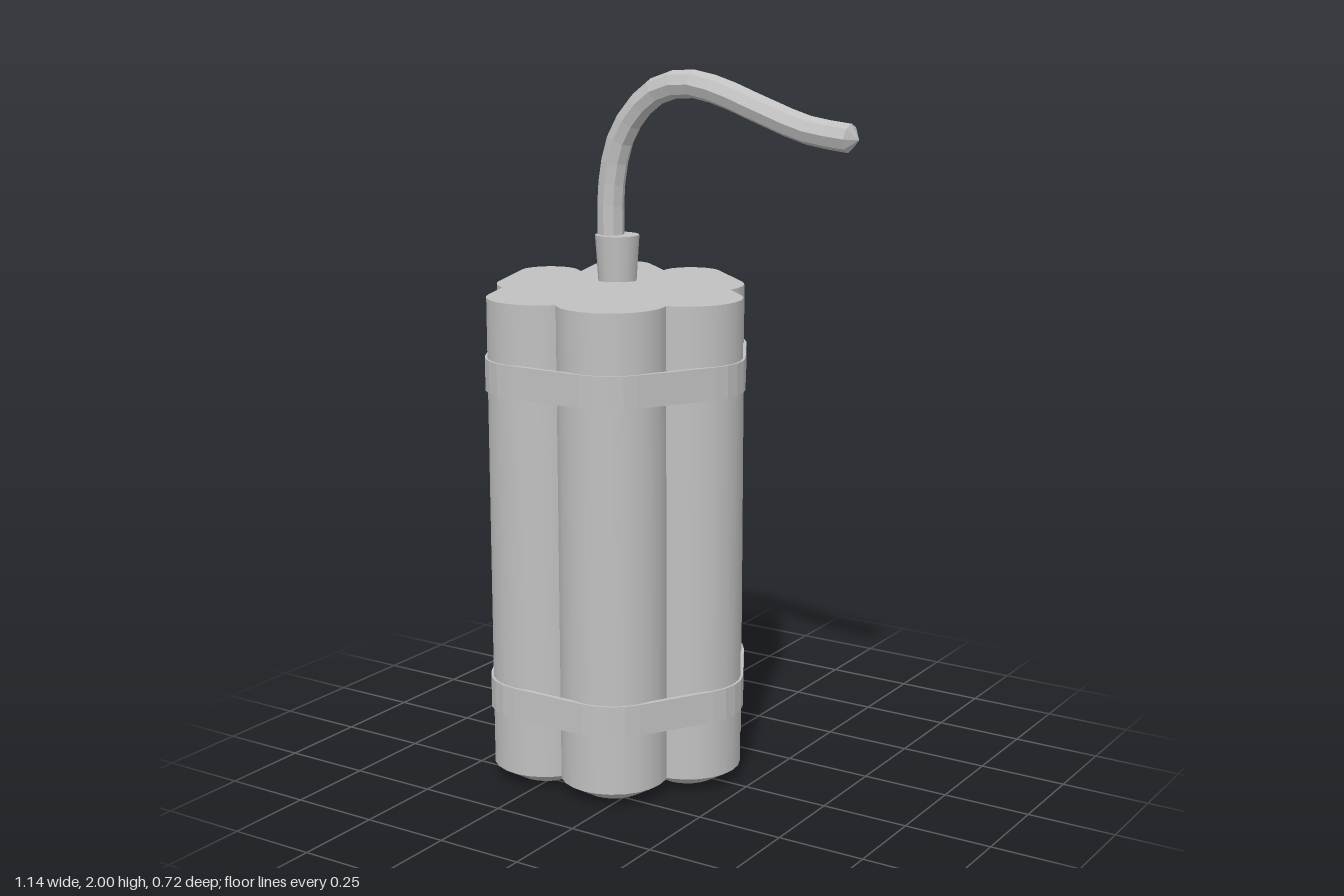
import * as THREE from 'three';

const CX = -0.18;          // bundle axis
const SPACING = 0.233;     // distance between tube axes
const R = 0.151;           // tube radius

export function createModel() {
  const model = new THREE.Group();
  const grey = new THREE.MeshStandardMaterial({ color: 0xc0c0c0 });
  grey.name = 'plain grey';

  const add = (name, geometry, parent = model) => {
    const mesh = new THREE.Mesh(geometry, grey);
    mesh.name = name;
    parent.add(mesh);
    return mesh;
  };
  const faceted = (g) => {
    const flat = g.toNonIndexed();
    flat.computeVertexNormals();
    return flat;
  };

  // Shallow dished end, shaded as one flat face
  const endCap = (points, ny) => {
    const g = new THREE.LatheGeometry(points.map(([r, y]) => new THREE.Vector2(r, y)), 24);
    const n = g.attributes.normal;
    for (let i = 0; i < n.count; i++) n.setXYZ(i, 0, ny, 0);
    return g;
  };
  const body = new THREE.CylinderGeometry(R, R, 1.345, 24, 1, true).translate(0, 0.7125, 0);
  const topCap = endCap([[R, 1.385], [0.083, 1.42], [0.07, 1.412], [0, 1.412]], 1);
  const bottomCap = endCap([[0, 0.008], [0.07, 0.008], [0.083, 0], [R, 0.04]], -1);

  // Seven tubes: one in the middle, six around it
  for (let k = 0; k < 7; k++) {
    const a = k * Math.PI / 3;
    const d = k < 6 ? SPACING : 0;
    const tube = new THREE.Group();
    tube.name = 'tube' + (k + 1);
    tube.position.set(CX + d * Math.cos(a), 0, d * Math.sin(a));
    add('tubeBody', body, tube);
    add('tubeTop', topCap, tube);
    add('tubeBottom', bottomCap, tube);
    model.add(tube);
  }

  // Rounded hexagon around the outer tubes
  const hexLoop = (r) => {
    const pts = [];
    for (let k = 0; k < 6; k++) {
      const a = k * Math.PI / 3;
      for (let j = -2; j <= 2; j++) {
        const b = a + j * Math.PI / 12;
        pts.push(new THREE.Vector2(
          SPACING * Math.cos(a) + r * Math.cos(b),
          SPACING * Math.sin(a) + r * Math.sin(b)));
      }
    }
    return pts;
  };

  // Two straps
  const strapShape = new THREE.Shape(hexLoop(0.158));
  strapShape.holes.push(new THREE.Path(hexLoop(0.145).reverse()));
  for (const [name, y] of [['lowerStrap', 0.208], ['upperStrap', 1.128]]) {
    const g = new THREE.ExtrudeGeometry(strapShape, { depth: 0.09, bevelEnabled: false });
    g.rotateX(-Math.PI / 2);
    add(name, g).position.set(CX, y, 0);
  }

  // Collar holding the cord
  add('cordCollar', new THREE.CylinderGeometry(0.062, 0.053, 0.135, 12))
    .position.set(CX, 1.473, 0);

  // Bent cord with a short pointed end
  const path = new THREE.CatmullRomCurve3([
    [-0.2, 1.5], [-0.197, 1.68], [-0.165, 1.81], [-0.1, 1.9], [-0.03, 1.948],
    [0.06, 1.962], [0.15, 1.945], [0.28, 1.9], [0.42, 1.855], [0.54, 1.84],
  ].map(([x, y]) => new THREE.Vector3(x, y, 0)));
  add('cord', faceted(new THREE.TubeGeometry(path, 18, 0.038, 8)));
  const tip = new THREE.ConeGeometry(0.038, 0.027, 8).translate(0, 0.0135, 0);
  const tipMesh = add('cordTip', faceted(tip));
  tipMesh.position.set(0.54, 1.84, 0);
  tipMesh.quaternion.setFromUnitVectors(new THREE.Vector3(0, 1, 0), path.getTangent(1));

  return model;
}
